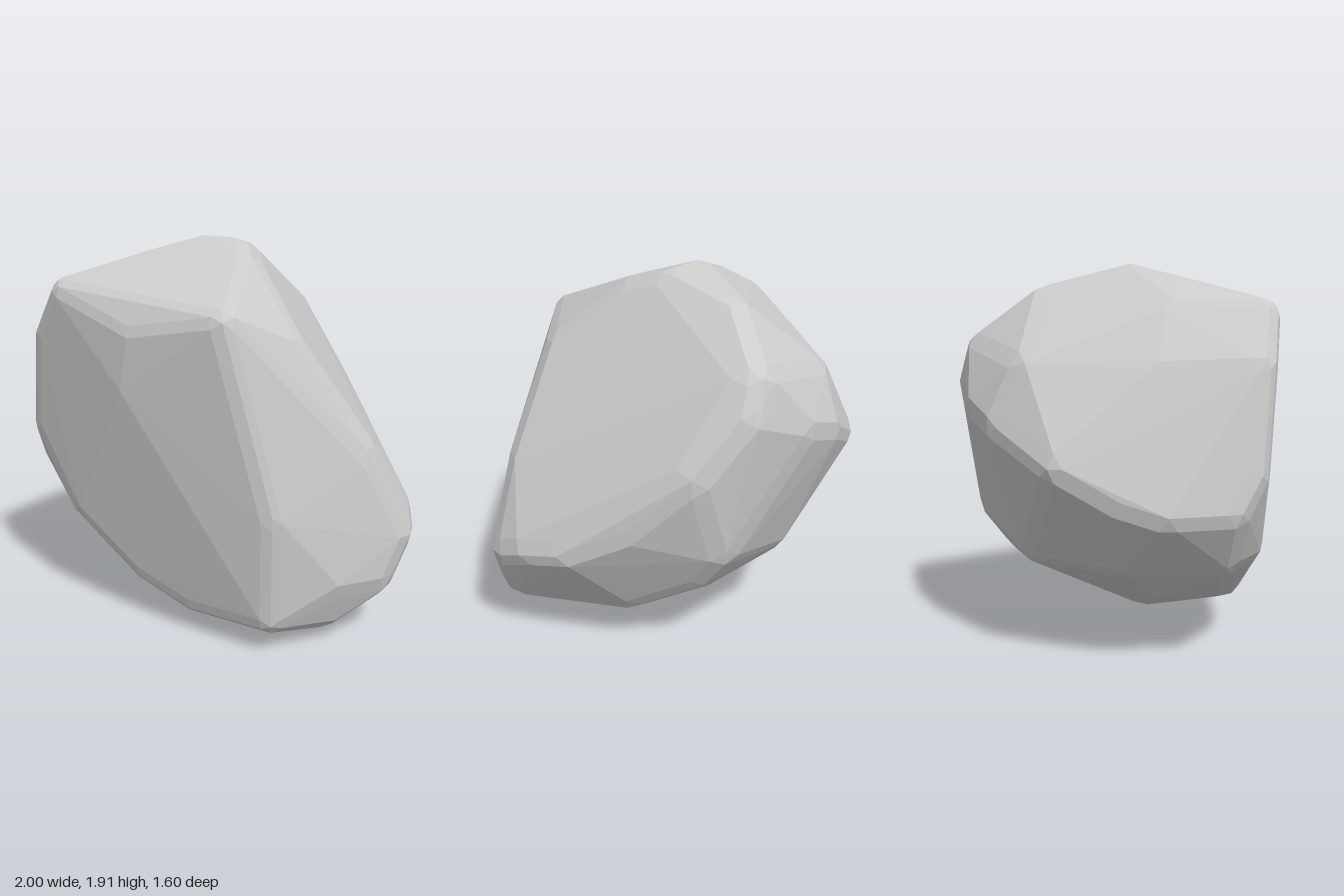
import * as THREE from 'three';
import { ConvexGeometry } from 'three/addons/geometries/ConvexGeometry.js';
import { mergeVertices } from 'three/addons/utils/BufferGeometryUtils.js';

// Centres of the rounded corners, grouped by side
const frontRim = [
  [-0.56, 1.64, 0.65], [-0.1, 1.5, 0.7], [-0.15, 1.25, 0.7], [0.32, 1.57, 0.65],
  [0.53, 0.7, 0.57], [0.51, 0.2, 0.54], [0.1, 0.19, 0.54], [-0.2, 0.3, 0.56],
  [-0.53, 0.57, 0.6], [-0.8, 0.96, 0.57], [-0.72, 1.42, 0.61],
];
const crown = [
  [-0.17, 1.76, 0.08], [-0.02, 1.75, 0.02], [0.1, 1.7, 0.18], [-0.33, 1.7, 0.28],
  [-0.52, 1.6, 0.25], [-0.67, 1.38, 0.22], [-0.15, 1.66, -0.32],
];
const rightRidge = [
  [0.42, 1.42, 0.38], [0.71, 0.9, 0.17], [0.85, 0.53, 0.04], [0.8, 0.34, 0.12],
  [0.67, 0.35, 0.32], [0.79, 0.58, -0.08], [0.65, 0.62, -0.24],
];
const back = [
  [-0.05, 1.32, -0.65], [-0.1, 1.45, -0.61], [0.17, 1.05, -0.61], [0.4, 0.78, -0.44],
  [0.05, 0.68, -0.57], [0.1, 0.52, -0.46], [-0.33, 1.22, -0.59], [-0.54, 1.15, -0.48],
  [-0.52, 1.37, -0.38], [-0.35, 0.92, -0.45],
];
const leftBulge = [
  [-0.87, 0.8, 0.2], [-0.82, 0.8, 0.46], [-0.84, 0.86, 0], [-0.8, 1.0, -0.25],
  [-0.68, 0.58, 0.45], [-0.62, 0.56, 0.05], [-0.38, 0.38, 0.2], [-0.36, 0.56, -0.36],
];
const underside = [
  [0.35, 0.15, 0.33], [0.2, 0.17, 0.2], [0.63, 0.2, 0.28], [0.36, 0.35, -0.24],
];

// Points of a small faceted ball repeated at every centre
function roundedCorners(centres, radius) {
  const ball = new THREE.IcosahedronGeometry(radius, 1);
  ball.deleteAttribute('normal');
  ball.deleteAttribute('uv');
  const pos = mergeVertices(ball).attributes.position;
  return centres.flatMap((c) =>
    Array.from({ length: pos.count }, (_, i) =>
      new THREE.Vector3().fromBufferAttribute(pos, i).add(new THREE.Vector3(...c))
    )
  );
}

export function createModel() {
  const group = new THREE.Group();
  group.name = 'rock';

  // Tight skin around all the corners; the front rim has the sharpest edges
  const points = [
    ...roundedCorners(frontRim, 0.1),
    ...roundedCorners(leftBulge, 0.13),
    ...roundedCorners([...crown, ...rightRidge, ...back, ...underside], 0.15),
  ];

  const boulder = new THREE.Mesh(
    new ConvexGeometry(points),
    new THREE.MeshStandardMaterial({ color: 0xcccccc, flatShading: true })
  );
  boulder.name = 'boulder';
  group.add(boulder);
  return group;
}
